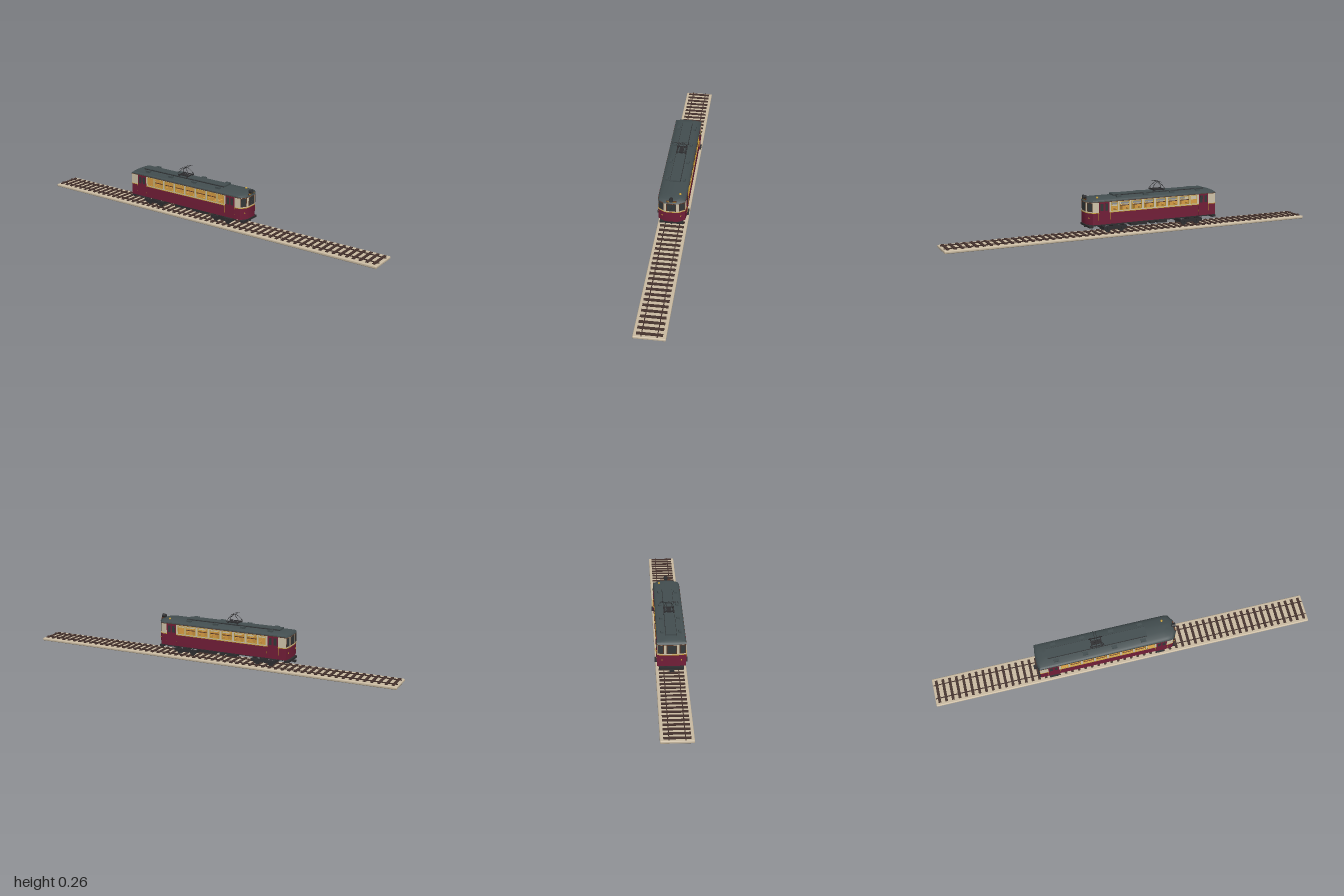
import * as THREE from 'three';
import { toCreasedNormals } from 'three/addons/utils/BufferGeometryUtils.js';
import { RoundedBoxGeometry } from 'three/addons/geometries/RoundedBoxGeometry.js';

const mat = (name, color) => Object.assign(new THREE.MeshStandardMaterial({ color }), { name });
const M = {
  red: mat('maroon paint', 0x721e38), cream: mat('cream paint', 0xd0c4aa), roof: mat('slate roof', 0x434e50),
  gold: mat('brass trim', 0xc9a035), wood: mat('warm interior', 0xd89c44), brown: mat('window frame', 0x573728),
  glass: mat('dark glass', 0x343839), dark: mat('black iron', 0x2e2e30), ballast: mat('ballast', 0xcabba2),
  sleeper: mat('sleeper timber', 0x45322d),
};
const ZC = -0.088; // middle of the tram along the track

// Body plan, counter-clockwise from above, as [x, z]
const half = [[0.032, 0.272], [0.066, 0.25], [0.069, 0.225], [0.069, -0.443], [0.03, -0.449]];
const plan = [...half, ...half.map(([x, z]) => [-x, z]).reverse()];
const offset = e => plan.map(([x, z]) => new THREE.Vector2(x * (1 + e / 0.069), -(ZC + (z - ZC) * (1 + e / 0.36))));

export function createModel() {
  const root = new THREE.Group();
  root.name = 'tramOnTrack';

  const add = (name, geo, material, x = 0, y = 0, z = 0) => {
    const m = new THREE.Mesh(geo, material);
    m.name = name;
    m.position.set(x, y, z);
    root.add(m);
    return m;
  };
  const box = (name, w, h, d, material, x, y, z) => add(name, new THREE.BoxGeometry(w, h, d), material, x, y, z);
  // Plan-shaped slab, or a ring when an inner offset is given
  const slab = (name, y0, y1, outer, inner, material) => {
    const s = new THREE.Shape(offset(outer));
    if (inner !== null) s.holes.push(new THREE.Path(offset(inner)));
    const g = new THREE.ExtrudeGeometry(s, { depth: y1 - y0, bevelEnabled: false });
    add(name, toCreasedNormals(g.rotateX(-Math.PI / 2), 0.75), material, 0, y0, 0);
  };
  // Upright plate on the plan edge a-b, from u0 to u1 along it
  const plate = (name, a, b, u0, u1, y0, y1, t, out, material) => {
    const dx = b[0] - a[0], dz = b[1] - a[1], len = Math.hypot(dx, dz), u = (u0 + u1) / 2;
    const nx = -dz / len, nz = dx / len;
    const m = box(name, len * (u1 - u0), y1 - y0, t, material,
      a[0] + dx * u + nx * (out - t / 2), (y0 + y1) / 2, a[1] + dz * u + nz * (out - t / 2));
    m.rotation.y = Math.atan2(nx, nz);
  };
  const tube = (name, pts, r, material, curved = false) => {
    const v = pts.map(p => new THREE.Vector3(...p));
    let path = new THREE.CatmullRomCurve3(v);
    if (!curved) {
      path = new THREE.CurvePath();
      for (let i = 1; i < v.length; i++) path.add(new THREE.LineCurve3(v[i - 1], v[i]));
    }
    add(name, new THREE.TubeGeometry(path, 12, r, 6), material);
  };
  const rect = (P, z0, y0, z1, y1) => new P([[z0, y0], [z1, y0], [z1, y1], [z0, y1]].map(p => new THREE.Vector2(...p)));
  // Upright sheet in the z-y plane on side s, its outer face at x
  const sideSheet = (name, shape, x, t, s, material) => {
    const g = new THREE.ExtrudeGeometry(shape, { depth: t, bevelEnabled: false }).rotateY(-Math.PI / 2);
    add(name, g, material, s > 0 ? x : -x + t, 0, 0);
  };

  // Rounded track bed, sleepers and rails
  add('trackBed', new RoundedBoxGeometry(0.15, 0.0145, 2, 4, 0.005), M.ballast, 0, 0.00725, 0);
  const count = 57;
  for (let i = 0; i < count; i++)
    box('sleeper', 0.12, 0.006, 0.0135, M.sleeper, 0, 0.016, -0.996 + (i + 0.5) * 1.992 / count);
  for (const s of [-1, 1]) box('rail', 0.004, 0.005, 1.99, M.sleeper, s * 0.036, 0.0168, 0);

  // Lower body, trim and interior
  slab('lowerBody', 0.07, 0.128, 0, -0.003, M.red);
  slab('bodyLining', 0.075, 0.129, -0.003, -0.005, M.wood);
  slab('underfloor', 0.069, 0.073, -0.001, null, M.dark);
  slab('floor', 0.073, 0.076, -0.003, null, M.wood);
  slab('beltTrim', 0.128, 0.131, 0.0012, -0.004, M.gold);
  for (let i = 0; i < 7; i++)
    for (const s of [-1, 1]) {
      const z = 0.115 - i * 0.068;
      box('seatCushion', 0.042, 0.006, 0.04, M.wood, s * 0.04, 0.1, z);
      box('seatBack', 0.042, 0.042, 0.005, M.wood, s * 0.04, 0.119, z);
    }

  // Side walls with open windows: six wide, one narrow at each end
  const zs = -0.091;
  const windows = [[0.225, 0.034], [-0.225, 0.034]];
  for (let i = 0; i < 6; i++) windows.push([(i - 2.5) * 0.068, 0.052]);
  for (const s of [-1, 1]) {
    const wall = rect(THREE.Shape, -0.443, 0.13, 0.225, 0.184);
    for (const [c, w] of windows) {
      const z0 = zs + c - w / 2, z1 = zs + c + w / 2;
      wall.holes.push(rect(THREE.Path, z0, 0.138, z1, 0.178));
      const frame = rect(THREE.Shape, z0 - 0.0022, 0.1358, z1 + 0.0022, 0.1802);
      frame.holes.push(rect(THREE.Path, z0 + 0.0005, 0.1385, z1 - 0.0005, 0.1775));
      sideSheet('windowFrame', frame, 0.0698, 0.003, s, M.gold);
      if (w > 0.04) box('windowBar', 0.002, 0.0035, w, M.brown, s * 0.0685, 0.16, zs + c);
    }
    sideSheet('upperSideWall', wall, 0.069, 0.003, s, M.cream);

    // Doors, steps and grab rails
    for (const z of [0.19, -0.373]) {
      box('door', 0.003, 0.112, 0.054, M.red, s * 0.0692, 0.127, z);
      for (const d of [-1, 1]) {
        box('doorWindow', 0.002, 0.036, 0.015, M.glass, s * 0.0702, 0.157, z + d * 0.0125);
        tube('grabRail', [[s * 0.069, 0.09, z + d * 0.031], [s * 0.073, 0.094, z + d * 0.031],
          [s * 0.073, 0.131, z + d * 0.031], [s * 0.069, 0.135, z + d * 0.031]], 0.0009, M.gold);
      }
      box('doorStep', 0.016, 0.003, 0.046, M.dark, s * 0.071, 0.068, z + (z > 0 ? -0.007 : -0.003));
    }
  }

  // End walls: cream panels; window spans along the plan edges of each end
  const n = plan.length;
  const spans = { 0: [0.16, 0.98], 8: [0.02, 0.84], 9: [0.12, 0.88], 3: [0.05, 0.82], 5: [0.18, 0.95], 4: [0.1, 0.9] };
  for (const i of [0, 1, 3, 4, 5, 7, 8, 9]) {
    const a = plan[i], b = plan[(i + 1) % n];
    plate('upperEndWall', a, b, 0, 1, 0.13, 0.184, 0.003, 0, M.cream);
    if (!spans[i]) continue;
    const [u0, u1] = spans[i], m = i === 4 || i === 9 ? 0.05 : 0.08;
    plate('endWindowFrame', a, b, u0, u1, 0.136, 0.181, 0.002, 0.0012, M.brown);
    plate('endWindow', a, b, u0 + m, u1 - m, 0.139, 0.178, 0.002, 0.0018, M.glass);
  }
  tube('windscreenWiper', [[-0.008, 0.14, 0.2745], [0.004, 0.165, 0.2745]], 0.0007, M.dark);
  for (const s of [-1, 1]) {
    const lamp = add('lowerLamp', new THREE.CylinderGeometry(0.003, 0.003, 0.006, 12), M.gold, s * 0.046, 0.103, 0.2625);
    lamp.rotation.x = Math.PI / 2;
    box('tailLamp', 0.006, 0.006, 0.004, M.gold, s * 0.046, 0.103, -0.447);
  }

  // Domed roof lofted from shrinking plan loops: height, width factor, end inset
  slab('eaves', 0.182, 0.185, 0.001, null, M.brown);
  const levels = [[0.184, 1.01, -0.002], [0.19, 0.99, 0.001], [0.195, 0.88, 0.007], [0.199, 0.7, 0.016], [0.203, 0.3, 0.04]];
  const loops = levels.map(([y, k, e]) => plan.map(([x, z]) => [x * k, y, z - Math.sign(z - ZC) * e]));
  const pos = [];
  for (let l = 0; l + 1 < loops.length; l++)
    for (let i = 0; i < n; i++) {
      const j = (i + 1) % n, [p, q] = [loops[l], loops[l + 1]];
      pos.push(...p[i], ...p[j], ...q[j], ...p[i], ...q[j], ...q[i]);
    }
  const top = loops[loops.length - 1];
  for (let i = 1; i + 1 < n; i++) pos.push(...top[0], ...top[i], ...top[i + 1]);
  const roof = new THREE.BufferGeometry();
  roof.setAttribute('position', new THREE.Float32BufferAttribute(pos, 3));
  add('roof', toCreasedNormals(roof, 0.75), M.roof);

  // Roof equipment
  box('roofWalkway', 0.05, 0.008, 0.515, M.roof, 0, 0.207, -0.135);
  for (const s of [-1, 1]) {
    box('walkwayEdge', 0.002, 0.003, 0.515, M.dark, s * 0.026, 0.206, -0.135);
    for (const z of [0.1, -0.05, -0.2, -0.35]) box('roofVent', 0.015, 0.012, 0.026, M.roof, s * 0.043, 0.202, z);
  }
  add('bell', new THREE.SphereGeometry(0.006, 12, 8), M.gold, 0.038, 0.202, 0.215);
  box('routeBoard', 0.05, 0.007, 0.006, M.brown, 0, 0.195, 0.27);
  box('routeBoardFace', 0.046, 0.003, 0.002, M.gold, 0, 0.195, 0.273);
  const head = add('headlamp', new THREE.CylinderGeometry(0.011, 0.009, 0.018, 20), M.dark, 0, 0.205, 0.268);
  head.rotation.x = Math.PI / 2;
  const lens = add('headlampLens', new THREE.CylinderGeometry(0.0085, 0.0085, 0.002, 20), M.glass, 0, 0.205, 0.277);
  lens.rotation.x = Math.PI / 2;

  // Current collector
  const zp = -0.135;
  box('collectorDrive', 0.022, 0.006, 0.05, M.dark, 0, 0.214, zp);
  for (const s of [-1, 1]) {
    box('collectorBeam', 0.054, 0.004, 0.005, M.dark, 0, 0.218, zp + s * 0.025);
    box('collectorRail', 0.004, 0.004, 0.07, M.dark, s * 0.022, 0.217, zp);
    for (const d of [-1, 1]) {
      box('insulator', 0.007, 0.007, 0.007, M.dark, s * 0.022, 0.213, zp + d * 0.025);
      tube('collectorArm', [[s * 0.022, 0.219, zp + d * 0.036], [s * 0.015, 0.236, zp + d * 0.025],
        [s * 0.01, 0.25, zp + d * 0.009], [0, 0.256, zp + d * 0.005]], 0.0013, M.dark, true);
    }
    tube('contactBow', [[-0.047, 0.252, zp + s * 0.006], [-0.038, 0.257, zp + s * 0.006],
      [0.038, 0.257, zp + s * 0.006], [0.047, 0.252, zp + s * 0.006]], 0.0009, M.dark);
  }

  // Underframe, equipment boxes, bumpers and couplers
  box('underframe', 0.09, 0.01, 0.66, M.dark, 0, 0.064, ZC);
  for (const [z, d] of [[-0.01, 0.09], [-0.088, 0.024], [-0.143, 0.055]]) box('equipmentBox', 0.1, 0.013, d, M.dark, 0, 0.054, z);
  for (const [z, s] of [[0.255, 1], [-0.442, -1]]) {
    box('bumper', 0.118, 0.011, 0.022, M.dark, 0, 0.059, z);
    box('couplerBar', 0.008, 0.006, 0.04, M.dark, 0, 0.053, z - s * 0.006);
  }
  box('couplerHead', 0.022, 0.009, 0.014, M.dark, 0, 0.053, -0.463);

  // Bogies
  for (const z of [0.12, -0.313]) {
    box('bogieBolster', 0.1, 0.014, 0.03, M.dark, 0, 0.052, z);
    for (const s of [-1, 1]) {
      box('bogieSideFrame', 0.008, 0.015, 0.126, M.dark, s * 0.046, 0.045, z);
      box('bogieCrossBeam', 0.1, 0.015, 0.006, M.dark, 0, 0.045, z + s * 0.06);
      const axle = add('axle', new THREE.CylinderGeometry(0.003, 0.003, 0.09, 8), M.dark, 0, 0.037, z + s * 0.037);
      axle.rotation.z = Math.PI / 2;
      for (const d of [-1, 1]) {
        const wheel = add('wheel', new THREE.CylinderGeometry(0.0165, 0.0165, 0.005, 20), M.dark, d * 0.036, 0.037, z + s * 0.037);
        wheel.rotation.z = Math.PI / 2;
        box('axleBox', 0.006, 0.012, 0.014, M.dark, d * 0.052, 0.042, z + s * 0.037);
      }
    }
  }
  return root;
}
